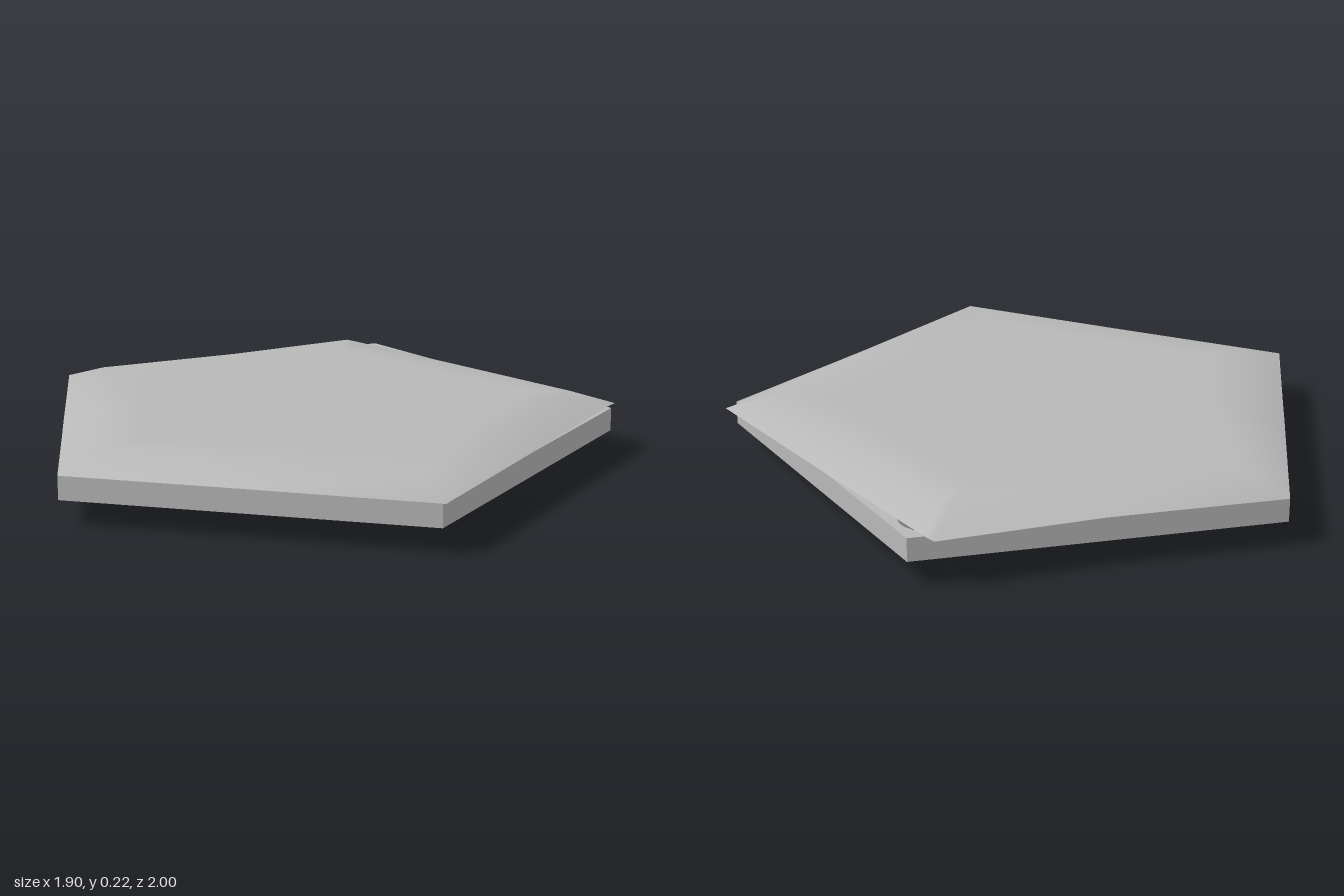
import * as THREE from 'three';

const CX = -0.115; // pentagon centre on x

// Five points on a circle, first one pointing to +x
function ring5(radius) {
  return Array.from({ length: 5 }, (_, i) => {
    const a = (i * Math.PI * 2) / 5;
    return new THREE.Vector2(CX + radius * Math.cos(a), radius * Math.sin(a));
  });
}

// Upright pentagonal prism, optionally pierced near its corners
function prism(radius, y0, height, holes = []) {
  const shape = new THREE.Shape(ring5(radius));
  for (const { x, y, r } of holes) {
    const path = new THREE.Path();
    path.absarc(x, y, r, 0, Math.PI * 2, true);
    shape.holes.push(path);
  }
  const geo = new THREE.ExtrudeGeometry(shape, { depth: height, bevelEnabled: false, curveSegments: 32 });
  geo.rotateX(-Math.PI / 2);
  geo.translate(0, y0, 0);
  return geo;
}

// Low cap: rings of the outline shrink towards the centre as they rise
function capGeometry(outline) {
  const rings = [[1, 0.165], [0.85, 0.215], [0.7, 0.216]];
  const n = outline.length;
  const pos = [];
  const idx = [];
  const addRing = (s, y) => outline.forEach(([x, z]) => pos.push(CX + (x - CX) * s, y, z * s));
  rings.forEach(([s, y]) => addRing(s, y));
  const top = pos.length / 3;
  pos.push(CX, 0.216, 0);
  const base = pos.length / 3;
  addRing(1, 0.165);
  const under = pos.length / 3;
  pos.push(CX, 0.165, 0);
  for (let i = 0; i < n; i++) {
    const j = (i + 1) % n;
    for (let r = 0; r < rings.length - 1; r++) {
      const o = r * n, p = o + n;
      idx.push(p + i, o + j, o + i, p + i, p + j, o + j);
    }
    const last = (rings.length - 1) * n;
    idx.push(top, last + j, last + i);
    idx.push(under, base + i, base + j);
  }
  const geo = new THREE.BufferGeometry();
  geo.setAttribute('position', new THREE.Float32BufferAttribute(pos, 3));
  geo.setIndex(idx);
  geo.computeVertexNormals();
  return geo;
}

export function createModel() {
  const group = new THREE.Group();
  const grey = new THREE.MeshStandardMaterial({ color: 0xb8b8b8 });
  grey.name = 'grey';
  const add = (name, geo) => {
    const mesh = new THREE.Mesh(geo, grey);
    mesh.name = name;
    group.add(mesh);
  };

  // Smaller pentagon underneath
  add('lowerPentagon', prism(0.672, 0, 0.085));

  // Main plate with a round socket in each corner
  const sockets = ring5(0.88).map((p) => ({ x: p.x, y: p.y, r: 0.095 }));
  add('plate', prism(1.035, 0.085, 0.08, sockets));

  // Slightly skewed cap with sloped rim, overhanging at two corners
  add('cap', capGeometry([
    [0.908, -0.015], [0.6, 0.438], [0.212, 0.995], [-0.4, 0.79], [-0.95, 0.61],
    [-0.953, 0], [-0.952, -0.61], [-0.4, -0.787], [0.12, -1.0], [0.155, -0.965],
    [0.54, -0.528], [0.945, -0.06],
  ]));
  return group;
}
